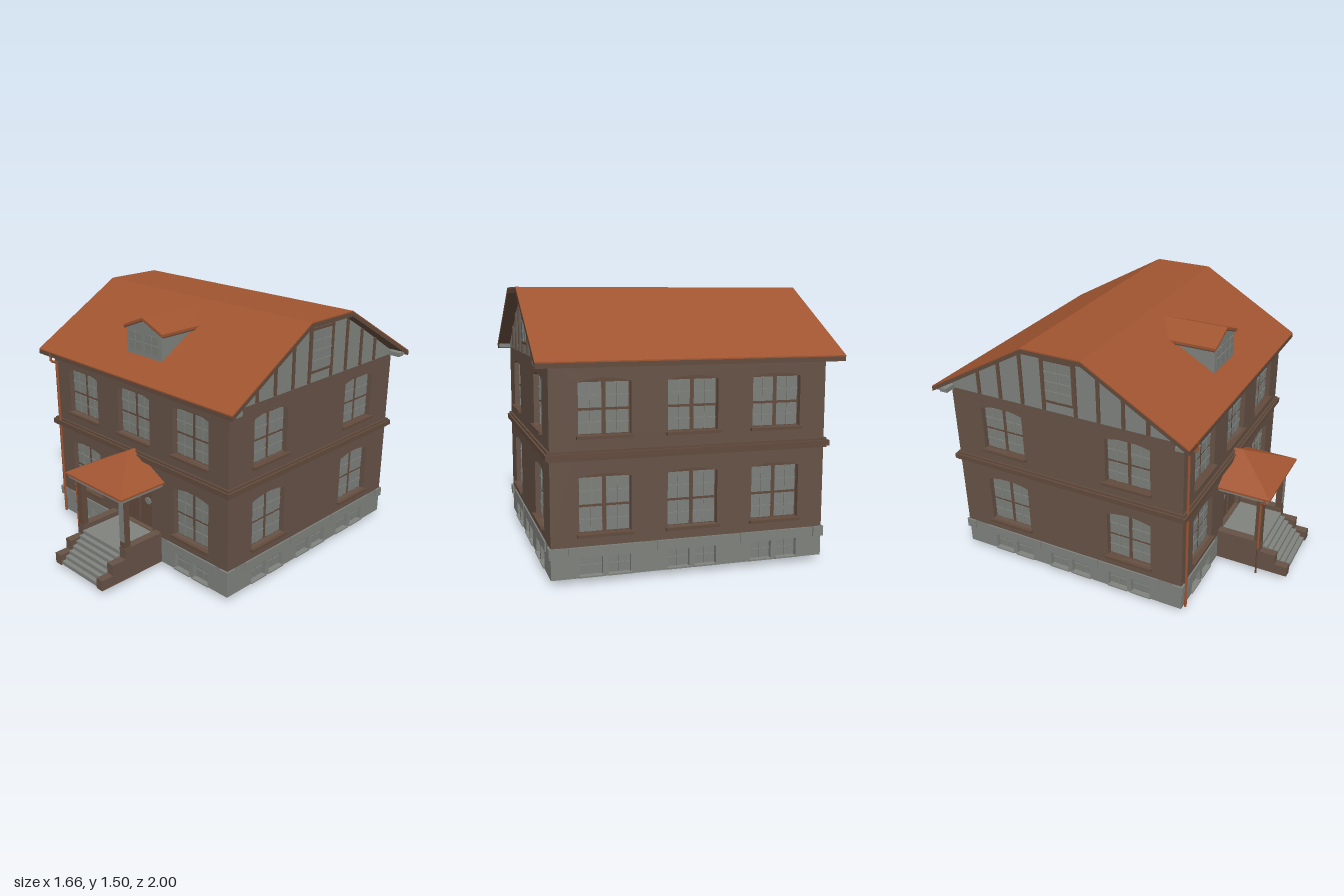
import * as THREE from 'three';

const mat = (name, color) => Object.assign(new THREE.MeshStandardMaterial({ color }), { name });

export function createModel() {
  const brick = mat('brown brick', 0x665246);
  const wood = mat('brown timber', 0x624b3d);
  const stone = mat('grey stone', 0x7f827d);
  const tile = mat('orange roof tile', 0xa05430);
  const glass = mat('grey glass', 0x7c7f7a);
  const house = new THREE.Group();
  house.name = 'house';

  const add = (parent, name, geo, material, x = 0, y = 0, z = 0) => {
    const m = new THREE.Mesh(geo, material);
    m.name = name;
    m.position.set(x, y, z);
    parent.add(m);
    return m;
  };
  // Box given by its minimum and maximum on each axis
  const box = (parent, name, material, x0, x1, y0, y1, z0, z1) =>
    add(parent, name, new THREE.BoxGeometry(x1 - x0, y1 - y0, z1 - z0), material,
      (x0 + x1) / 2, (y0 + y1) / 2, (z0 + z1) / 2);
  const poly = (pts) => new THREE.Shape(pts.map(([x, y]) => new THREE.Vector2(x, y)));
  const extrude = (shape, depth) =>
    new THREE.ExtrudeGeometry(shape, { depth, bevelEnabled: false, curveSegments: 6 });
  // Profile in (z, y) extruded along x, centred on x = 0
  const extrudeX = (pts, width) =>
    extrude(poly(pts), width).translate(0, 0, -width / 2).rotateY(-Math.PI / 2);
  const rect = (x0, x1, y0, y1) => poly([[x0, y0], [x1, y0], [x1, y1], [x0, y1]]);

  // Opening with a shallow arched head
  const archShape = (u, w, y0, y1, rise) => {
    const s = new THREE.Shape();
    s.moveTo(u - w / 2, y0);
    s.lineTo(u + w / 2, y0);
    s.lineTo(u + w / 2, y1);
    s.quadraticCurveTo(u, y1 + rise * 2, u - w / 2, y1);
    s.closePath();
    return s;
  };

  // Glass pane with crossing glazing bars
  const pane = (parent, x0, x1, y0, y1, z, rows = 2) => {
    box(parent, 'pane', glass, x0, x1, y0, y1, z, z + 0.004);
    const cx = (x0 + x1) / 2;
    box(parent, 'glazingBar', stone, cx - 0.003, cx + 0.003, y0, y1, z + 0.004, z + 0.009);
    for (let i = 1; i < rows; i++) {
      const y = y0 + (y1 - y0) * i / rows;
      box(parent, 'glazingBar', stone, x0, x1, y - 0.003, y + 0.003, z + 0.004, z + 0.008);
    }
  };

  // Twin sash window set back in its opening
  const sashWindow = (parent, u, y0, y1) => {
    const g = new THREE.Group();
    g.name = 'window';
    parent.add(g);
    add(g, 'windowFrame', extrude(archShape(u, 0.28, y0, y1, 0.02), 0.015), wood, 0, 0, -0.045);
    const mid = (y0 + y1) / 2 - 0.005;
    for (const s of [-1, 1]) {
      const c = u + s * 0.071;
      pane(g, c - 0.06, c + 0.06, y0 + 0.005, mid - 0.007, -0.031);
      pane(g, c - 0.06, c + 0.06, mid + 0.007, y1 - 0.004, -0.031);
    }
    box(g, 'windowSill', wood, u - 0.148, u + 0.148, y0 - 0.016, y0, -0.04, 0.02);
  };

  // Low twin basement window under a stone lintel
  const basementWindow = (parent, u) => {
    const g = new THREE.Group();
    g.name = 'basementWindow';
    parent.add(g);
    for (const s of [-1, 1]) {
      const c = u + s * 0.075;
      pane(g, c - 0.062, c + 0.062, 0.04, 0.14, -0.03);
      box(g, 'basementSill', stone, c - 0.065, c + 0.065, 0.032, 0.04, -0.035, 0.008);
    }
    box(g, 'lintel', stone, u - 0.195, u + 0.195, 0.14, 0.194, -0.02, 0.008);
  };

  // Four facades, each in a local frame: x along the wall, z outward
  const sides = [
    { name: 'front', ry: 0, p: [0, 0, 0.55], len: 1.51, wins: [-0.47, 0, 0.47], base: [-0.47, 0.47], door: true },
    { name: 'back', ry: Math.PI, p: [0, 0, -0.92], len: 1.51, wins: [-0.47, 0, 0.47], base: [-0.47, 0, 0.47] },
    { name: 'rightSide', ry: Math.PI / 2, p: [0.755, 0, -0.185], len: 1.47, wins: [-0.403, 0.403], base: [-0.4, 0, 0.4], gable: true },
    { name: 'leftSide', ry: -Math.PI / 2, p: [-0.755, 0, -0.185], len: 1.47, wins: [-0.403, 0.403], base: [-0.4, 0, 0.4], gable: true },
  ];
  for (const s of sides) {
    const g = new THREE.Group();
    g.name = s.name + 'Facade';
    g.rotation.y = s.ry;
    g.position.set(...s.p);
    house.add(g);
    const h = s.len / 2, e = h - (s.gable ? 0.005 : 0);

    // Brick wall with openings
    const wall = rect(-e, e, 0.195, 1.13);
    for (const u of s.wins) {
      for (const [y0, y1] of [[0.26, 0.55], [0.765, 1.035]]) {
        if (s.door && u === 0 && y0 < 0.5) continue;
        wall.holes.push(archShape(u, 0.275, y0, y1, 0.02));
        sashWindow(g, u, y0, y1);
      }
    }
    if (s.door) wall.holes.push(rect(-0.14, 0.14, 0.2, 0.54));
    add(g, 'brickWall', extrude(wall, 0.05), brick, 0, 0, -0.05);

    // Stone base with corner blocks
    const base = rect(-e, e, 0.03, 0.195);
    for (const u of s.base) {
      for (const k of [-1, 1]) base.holes.push(rect(u + k * 0.075 - 0.06, u + k * 0.075 + 0.06, 0.04, 0.14));
      basementWindow(g, u);
    }
    add(g, 'stoneBase', extrude(base, 0.045), stone, 0, 0, -0.045);
    for (const k of [-1, 1])
      add(g, 'cornerBlock', new THREE.BoxGeometry(0.06, 0.055, 0.04), stone, k * (h - 0.02), 0.168, -0.009);

    // Moulded band between the floors
    box(g, 'floorBand', wood, -h - 0.013, h + 0.013, 0.64, 0.692, -0.02, 0.012);
    box(g, 'floorBandLip', wood, -h - 0.024, h + 0.024, 0.65, 0.68, -0.02, 0.024);

    if (s.gable) {
      // Rendered gable with timber studs and a window
      const pts = [[-0.735, 1.125], [0.735, 1.125], [0.735, 1.146], [0.182, 1.478], [-0.182, 1.478], [-0.735, 1.146]];
      add(g, 'gableWall', extrude(poly(pts), 0.05), stone, 0, 0, -0.048);
      for (const k of [-1, 1]) for (const u of [0.1, 0.24, 0.388, 0.533]) {
        const top = 1.478 - Math.max(0, u - 0.182) * 0.6;
        box(g, 'gableStud', wood, k * u - 0.01, k * u + 0.01, 1.13, top, 0, 0.01);
      }
      box(g, 'gableWindowFrame', wood, -0.1, 0.1, 1.18, 1.44, 0, 0.008);
      pane(g, -0.083, 0.083, 1.197, 1.425, 0.007, 4);
    }
  }

  // Main roof: brown boarding with a tile skin
  const roofPts = (d) => [[0.61, 1.145 - d], [0, 1.505 - d], [-0.365, 1.505 - d], [-1, 1.145 - d]];
  const roofLayer = (a, b) => extrudeX([...roofPts(a), ...roofPts(b).reverse()], 1.66);
  add(house, 'roofBoarding', roofLayer(0.007, 0.032), wood);
  add(house, 'roofTiles', roofLayer(0, 0.0069), tile);

  // Stepped cornices under the eaves
  for (const [z0, z1, z2] of [[0.53, 0.575, 0.6], [-0.9, -0.95, -0.985]]) {
    box(house, 'cornice', stone, -0.825, 0.825, 1.12, 1.134, Math.min(z0, z1), Math.max(z0, z1));
    box(house, 'corniceUpper', stone, -0.828, 0.828, 1.13, 1.146, Math.min(z0, z2), Math.max(z0, z2));
  }

  // Dormer
  const dormer = new THREE.Group();
  dormer.name = 'dormer';
  house.add(dormer);
  add(dormer, 'dormerBody', extrude(poly([[-0.145, 1.235], [0.145, 1.235], [0.145, 1.385], [0, 1.445], [-0.145, 1.385]]), 0.3),
    stone, 0, 0, 0.155);
  const chevron = (a, b) => poly([[-0.165, 1.398 - a], [-0.165, 1.398 - b], [0, 1.465 - b], [0.165, 1.398 - b], [0.165, 1.398 - a], [0, 1.465 - a]]);
  add(dormer, 'dormerRoof', extrude(chevron(0, 0.014), 0.41), tile, 0, 0, 0.056);
  add(dormer, 'dormerFascia', extrude(chevron(0.0141, 0.022), 0.4), wood, 0, 0, 0.06);
  for (const k of [-1, 1]) pane(dormer, k * 0.069 - 0.055, k * 0.069 + 0.055, 1.265, 1.37, 0.455);

  // Double entrance door with oval lights
  box(house, 'doorLeaf', wood, -0.14, 0.14, 0.195, 0.545, 0.5, 0.52);
  box(house, 'doorSeam', brick, -0.004, 0.004, 0.2, 0.54, 0.52, 0.526);
  const oval = new THREE.CylinderGeometry(1, 1, 0.006, 16).rotateX(Math.PI / 2);
  for (const k of [-1, 1]) for (const [x, y, rx, ry] of [[0.062, 0.488, 0.033, 0.025], [0.078, 0.373, 0.026, 0.022]])
    add(house, 'doorLight', oval, glass, k * x, y, 0.522).scale.set(rx, ry, 1);
  add(house, 'doorKnob', new THREE.SphereGeometry(0.007, 10, 8), brick, 0.01, 0.37, 0.53);

  // Porch landing, steps and stepped side walls
  const porch = new THREE.Group();
  porch.name = 'porch';
  house.add(porch);
  box(porch, 'landing', stone, -0.172, 0.172, 0.17, 0.195, 0.5, 0.81);
  const n = 7;
  for (let i = 0; i < n; i++) {
    const y = 0.03 + 0.165 * i / n, z = 0.99 - 0.19 * i / n;
    box(porch, 'step', stone, -0.172, 0.172, y, y + 0.165 / n, z - 0.06, z);
  }
  const cheek = [[0.54, 0.03], [1, 0.03], [1, 0.095], [0.92, 0.095], [0.92, 0.16], [0.825, 0.16], [0.825, 0.225], [0.54, 0.225]];
  for (const k of [-1, 1]) {
    add(porch, 'stairWall', extrudeX(cheek, 0.05), brick, k * 0.195);
    box(porch, 'porchPost', wood, k * 0.195 - 0.021, k * 0.195 + 0.021, 0.225, 0.54, 0.783, 0.823);
  }
  box(porch, 'postPanel', stone, 0.176, 0.214, 0.265, 0.53, 0.823, 0.826);
  box(porch, 'porchBeam', stone, -0.24, 0.24, 0.532, 0.556, 0.54, 0.858);

  // Hipped porch roof built from its corner points
  const A = [-0.255, 0.565, 0.87], B = [0.255, 0.565, 0.87], C = [0.255, 0.565, 0.54], D = [-0.255, 0.565, 0.54];
  const R = [0, 0.7, 0.605], S = [0, 0.7, 0.54];
  const hip = new THREE.BufferGeometry();
  hip.setAttribute('position', new THREE.Float32BufferAttribute(
    [A, B, R, B, C, S, B, S, R, D, A, R, D, R, S, C, D, S].flat(), 3));
  hip.computeVertexNormals();
  add(porch, 'porchRoof', hip, tile);
  box(porch, 'porchRoofEdge', tile, -0.255, 0.255, 0.553, 0.565, 0.54, 0.87);

  // Downpipes
  const pipe = (name, material, r, pts) => {
    for (let i = 1; i < pts.length; i++) {
      const line = new THREE.LineCurve3(new THREE.Vector3(...pts[i - 1]), new THREE.Vector3(...pts[i]));
      add(house, name, new THREE.TubeGeometry(line, 1, r, 8), material);
    }
  };
  pipe('eavesDownpipe', tile, 0.008, [[-0.72, 1.14, 0.605], [-0.72, 1.085, 0.605], [-0.72, 1.065, 0.562], [-0.72, 0.03, 0.562]]);
  pipe('porchDownpipe', tile, 0.007, [[-0.25, 0.565, 0.84], [-0.25, 0.53, 0.84], [-0.23, 0.51, 0.812], [-0.23, 0.19, 0.812]]);
  pipe('porchDownpipeFoot', wood, 0.006, [[-0.23, 0.19, 0.812], [-0.23, 0, 0.812]]);

  return house;
}
